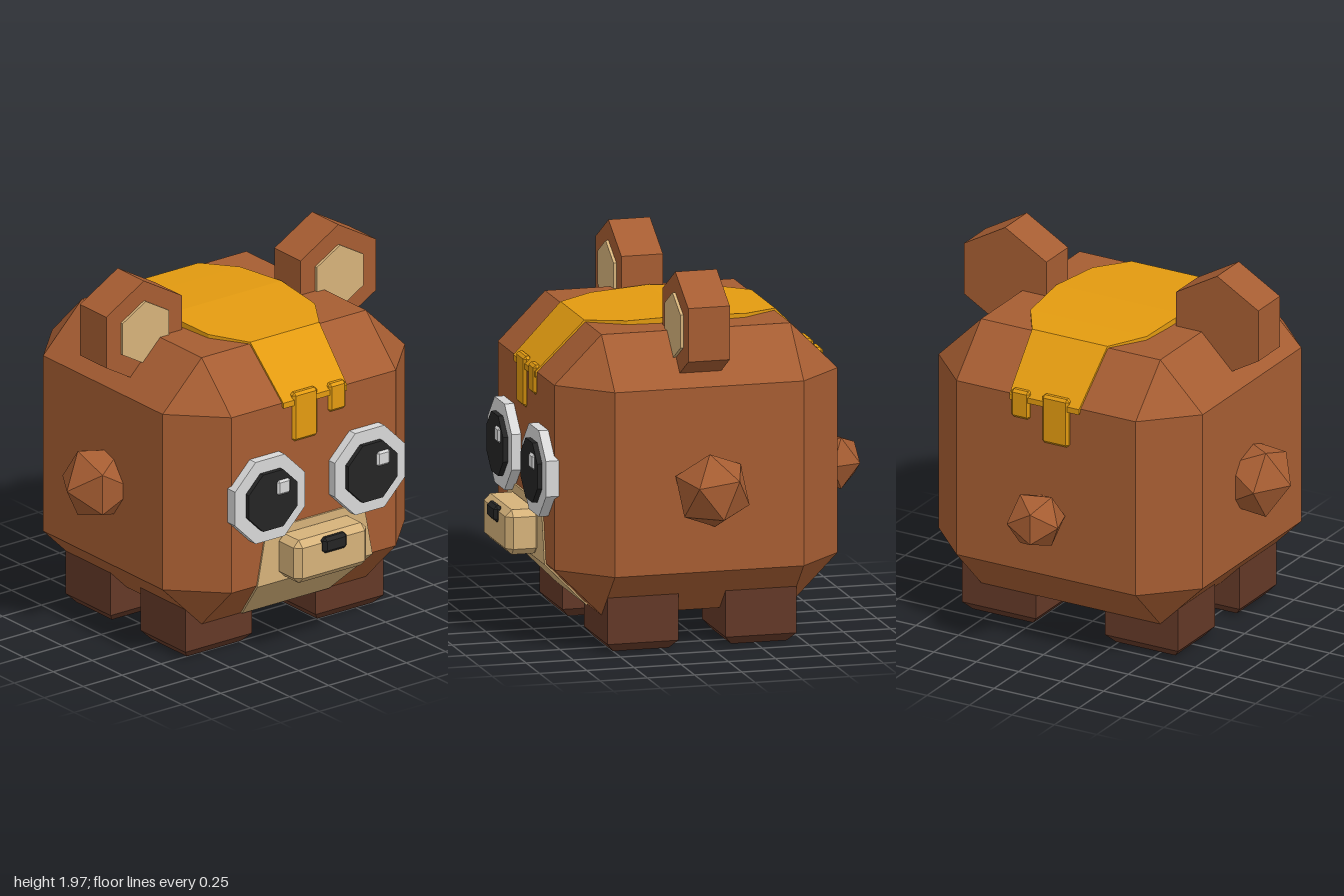
import * as THREE from 'three';
import { ConvexGeometry } from 'three/addons/geometries/ConvexGeometry.js';

const CX = 0.01; // centre line of the body

function material(name, color, side = THREE.FrontSide) {
  const m = new THREE.MeshStandardMaterial({ color, side, flatShading: true });
  m.name = name;
  return m;
}

// Box between two corners with every edge cut by c
function chamferBox(min, max, c) {
  const points = [];
  for (let k = 0; k < 8; k++) {
    const s = [k & 1, (k >> 1) & 1, (k >> 2) & 1];
    for (let axis = 0; axis < 3; axis++) {
      const p = s.map((hi, i) => {
        const cut = i === axis ? 0 : c;
        return hi ? max[i] - cut : min[i] + cut;
      });
      points.push(new THREE.Vector3(...p));
    }
  }
  return new ConvexGeometry(points);
}

// Flat-sided disc facing +z, from z0 to z1
function disc(radius, sides, turn, x, y, z0, z1) {
  const g = new THREE.CylinderGeometry(radius, radius, z1 - z0, sides);
  g.rotateY(turn);
  g.rotateX(Math.PI / 2);
  g.translate(x, y, (z0 + z1) / 2);
  return g;
}

// Band lying on the body: stations are [half width, y, z], inset is the skirt offset
function band(stations, inset) {
  const pos = [];
  const quad = (a, b, c, d) => [a, b, c, a, c, d].forEach((p) => pos.push(...p));
  const at = (s, side) => [CX + side * s[0], s[1], s[2]];
  const low = (p) => [p[0], p[1] + inset[0], p[2] + inset[1]];
  for (let i = 0; i + 1 < stations.length; i++) {
    const a = at(stations[i], -1), b = at(stations[i], 1);
    const d = at(stations[i + 1], -1), c = at(stations[i + 1], 1);
    quad(a, b, c, d);
    quad(b, low(b), low(c), c);
    quad(d, low(d), low(a), a);
  }
  const first = stations[0], last = stations[stations.length - 1];
  quad(low(at(first, -1)), low(at(first, 1)), at(first, 1), at(first, -1));
  quad(low(at(last, 1)), low(at(last, -1)), at(last, -1), at(last, 1));
  const g = new THREE.BufferGeometry();
  g.setAttribute('position', new THREE.Float32BufferAttribute(pos, 3));
  g.computeVertexNormals();
  return g;
}

export function createModel() {
  const fur = material('brown fur', 0xa65d32);
  const paw = material('dark brown', 0x633827);
  const tan = material('tan', 0xd6b27a, THREE.DoubleSide);
  const gold = material('honey gold', 0xe39b10, THREE.DoubleSide);
  const white = material('eye white', 0xd8d8d8);
  const black = material('black', 0x242424);

  const group = new THREE.Group();
  const add = (name, geometry, mat) => {
    const mesh = new THREE.Mesh(geometry, mat);
    mesh.name = name;
    group.add(mesh);
    return mesh;
  };

  add('body', chamferBox([-0.77, 0.175, -0.71], [0.785, 1.64, 0.79], 0.25), fur);

  // Legs: straight blocks with a bevelled sole
  for (const [x0, x1] of [[-0.625, -0.195], [0.212, 0.648]]) {
    for (const [z0, z1] of [[0.165, 0.54], [-0.46, -0.085]]) {
      const pts = [];
      for (const [y, inset] of [[0, 0.04], [0.045, 0], [0.32, 0]]) {
        for (const x of [x0 + inset, x1 - inset]) {
          for (const z of [z0 + inset, z1 - inset]) pts.push(new THREE.Vector3(x, y, z));
        }
      }
      add('leg', new ConvexGeometry(pts), paw);
    }
  }

  for (const side of [-1, 1]) {
    // Ears
    const ex = 0.012 + side * 0.624;
    add('ear', disc(0.28, 6, 0, ex, 1.688, -0.042, 0.178), fur);
    add('innerEar', disc(0.172, 6, 0, ex, 1.688, 0.17, 0.193), tan);

    // Eyes
    const x = CX + side * 0.32;
    add('eyeWhite', disc(0.243, 8, Math.PI / 8, x, 0.907, 0.76, 0.84), white);
    add('pupil', disc(0.169, 8, Math.PI / 8, x, 0.907, 0.83, 0.866), black);
    add('eyeGlint', chamferBox([x + 0.023, 0.927, 0.85], [x + 0.107, 1.01, 0.877], 0.012), white);
  }

  // Arm stubs: one shows a corner outwards, the other a face
  const t = (1 + Math.sqrt(5)) / 2;
  const stub = (radius, direction, outward, x) => {
    const g = new THREE.IcosahedronGeometry(radius, 0);
    const q = new THREE.Quaternion().setFromUnitVectors(direction.normalize(), outward);
    g.applyQuaternion(q);
    g.translate(x, 0.86, 0.038);
    return g;
  };
  add('rightArm', stub(0.207, new THREE.Vector3(-t, 0, 1), new THREE.Vector3(-1, 0, 0), -0.793), fur);
  add('leftArm', stub(0.204, new THREE.Vector3(1, 1, 1), new THREE.Vector3(1, 0, 0), 0.838), fur);

  // Tail
  const tail = new THREE.IcosahedronGeometry(0.157, 0);
  tail.rotateY(0.3);
  tail.translate(-0.005, 0.78, -0.835);
  add('tail', tail, fur);

  // Chin patch, muzzle and nose
  add('chinPatch', band([[0.28, 0.175, 0.552], [0.37, 0.42, 0.798], [0.312, 0.72, 0.798]], [0.004, -0.02]), tan);
  add('muzzle', chamferBox([-0.225, 0.443, 0.77], [0.242, 0.677, 0.957], 0.034), tan);
  add('nose', chamferBox([-0.068, 0.585, 0.93], [0.086, 0.67, 0.98], 0.017), black);

  // Honey poured over the head, with drips front and back
  add('honey', band([
    [0.205, 1.392, 0.8], [0.222, 1.65, 0.545], [0.342, 1.66, 0.352], [0.37, 1.676, 0.035],
    [0.342, 1.66, -0.275], [0.222, 1.65, -0.465], [0.205, 1.392, -0.725],
  ], [-0.03, 0]), gold);
  for (const [z0, z1] of [[0.76, 0.806], [-0.73, -0.684]]) {
    add('largeDrip', chamferBox([-0.132, 1.163, z0], [0.026, 1.428, z1], 0.014), gold);
    add('smallDrip', chamferBox([0.098, 1.268, z0], [0.208, 1.422, z1], 0.014), gold);
  }

  return group;
}
